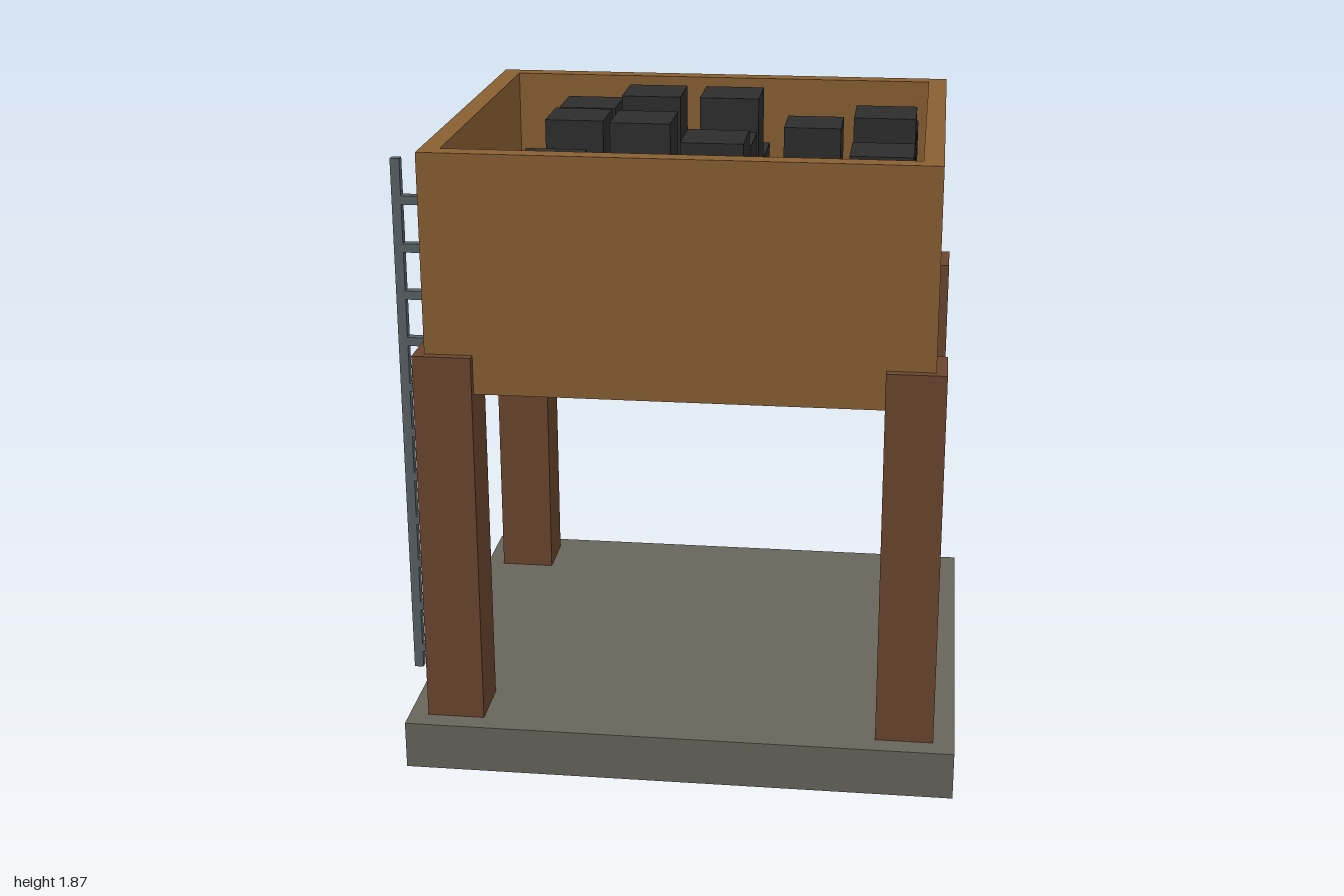
import * as THREE from 'three';

const material = (name, color) => {
  const m = new THREE.MeshStandardMaterial({ color });
  m.name = name;
  return m;
};

export function createModel() {
  const concrete = material('concrete', 0x67655b);
  const timber = material('dark timber', 0x6a452d);
  const planks = material('hopper planks', 0x895f33);
  const brass = material('wheel brown', 0x94622c);
  const steel = material('steel', 0x596267);
  const coal = material('coal', 0x2d2d2d);
  const iron = material('chute iron', 0x29292a);

  const model = new THREE.Group();
  model.name = 'coalBunker';

  const group = (name, parent = model) => {
    const g = new THREE.Group();
    g.name = name;
    parent.add(g);
    return g;
  };
  // Box given by its extents along each axis
  const box = (name, mat, [x0, x1], [y0, y1], [z0, z1], parent = model) => {
    const mesh = new THREE.Mesh(new THREE.BoxGeometry(x1 - x0, y1 - y0, z1 - z0), mat);
    mesh.position.set((x0 + x1) / 2, (y0 + y1) / 2, (z0 + z1) / 2);
    mesh.name = name;
    parent.add(mesh);
    return mesh;
  };

  // Foundation slab and four legs
  box('base', concrete, [-0.755, 0.825], [0, 0.14], [-0.355, 1]);
  const legs = group('legs');
  for (const x of [-0.7, 0.6])
    for (const z of [-0.295, 0.775])
      box('leg', timber, [x, x + 0.165], [0.14, 1.243], [z, z + 0.165], legs);

  // Open hopper: floor and four walls
  const hopper = group('hopper');
  const wall = 0.055, X = [-0.67, 0.735], Y = [1.13, 1.81], Z = [-0.27, 0.915];
  const innerZ = [Z[0] + wall, Z[1] - wall], innerX = [X[0] + wall, X[1] - wall];
  box('hopperFloor', planks, innerX, [Y[0], Y[0] + wall], innerZ, hopper);
  box('backWall', planks, X, Y, [Z[0], innerZ[0]], hopper);
  box('frontWall', planks, X, Y, [innerZ[1], Z[1]], hopper);
  box('rightWall', planks, [X[0], innerX[0]], Y, innerZ, hopper);
  box('leftWall', planks, [innerX[1], X[1]], Y, innerZ, hopper);

  // Coal blocks, rows from back to front
  const load = group('coalLoad');
  const tops = [
    [1.78, 1.65, 1.65, 1.735, 1.73],
    [1.79, 1.865, 1.865, 1.64, 1.74],
    [1.64, 1.835, 1.78, 1.6, 1.865],
    [1.77, 1.755, 1.835, 1.66, 1.81],
  ];
  tops.forEach((row, r) => row.forEach((top, c) => {
    const x = -0.42 + 0.226 * c, z = -0.02 + 0.226 * r;
    box('coalBlock', coal, [x, x + 0.17], [Y[0] + wall, top], [z, z + 0.17], load);
  }));

  // Sloping U-shaped chute, rising to the back
  const chute = group('chute');
  chute.position.set(0.0325, 0.99, -0.237);
  chute.rotation.x = Math.PI / 8;
  const w = 0.2525, len = [-0.826, 0];
  box('chuteFloor', iron, [-w + 0.025, w - 0.025], [0, 0.055], len, chute);
  box('chuteSide', iron, [-w, -w + 0.025], [0, 0.166], len, chute);
  box('chuteSide', iron, [w - 0.025, w], [0, 0.166], len, chute);

  // Sliding gate above the chute
  box('gate', steel, [-0.205, 0.27], [1.18, 1.5], [-0.327, -0.27]);

  // Gate hand wheel: hub with six spokes
  const wheel = group('handWheel');
  wheel.position.set(-0.337, 1.33, -0.342);
  const hub = new THREE.Mesh(new THREE.CylinderGeometry(0.042, 0.042, 0.073, 12).toNonIndexed(), brass);
  hub.geometry.computeVertexNormals();
  hub.name = 'hub';
  hub.rotation.x = Math.PI / 2;
  hub.position.z = 0.01;
  wheel.add(hub);
  for (let i = 0; i < 3; i++) {
    const bar = box('spokes', brass, [-0.142, 0.142], [-0.014, 0.014], [-0.013, 0.013], wheel);
    bar.rotation.z = (i * Math.PI) / 3;
  }

  // Ladder standing out from the right side
  const ladder = group('ladder');
  const depth = [0.578, 0.605];
  for (const x of [-0.826, -0.655])
    box('rail', steel, [x, x + 0.027], [0.118, 1.717], depth, ladder);
  for (let i = 0; i < 11; i++) {
    const y = 0.182 + 0.1414 * i;
    box('rung', steel, [-0.8, -0.655], [y - 0.013, y + 0.013], depth, ladder);
  }

  return model;
}
